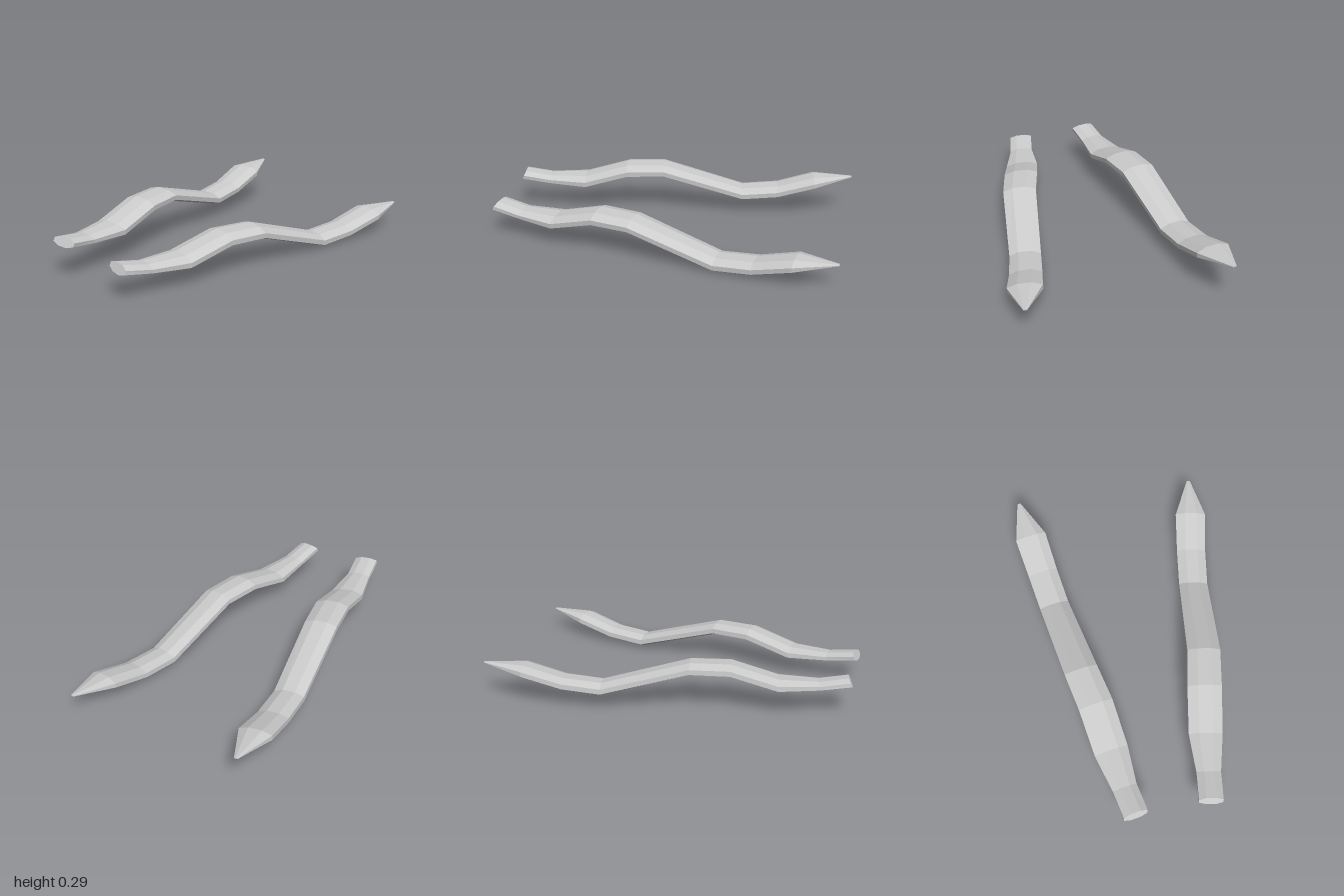
import * as THREE from 'three';

const material = new THREE.MeshStandardMaterial({ color: 0xcccccc, flatShading: true });

// Sections from the blunt end to the tip: x, y, z of the centre, half width, half height
const SECTIONS = [
  [0.210, 0.188, 0.973, 0.067, 0.024],
  [0.237, 0.160, 0.810, 0.068, 0.024],
  [0.270, 0.154, 0.595, 0.095, 0.034],
  [0.312, 0.226, 0.340, 0.097, 0.034],
  [0.357, 0.226, 0.125, 0.094, 0.033],
  [0.425, 0.078, -0.350, 0.085, 0.034],
  [0.457, 0.096, -0.560, 0.086, 0.033],
  [0.493, 0.157, -0.775, 0.090, 0.032],
  [0.528, 0.185, -0.998, 0.010, 0.003],
];
const SIDES = 8;
const YAW = 0.16; // sections stand square to the splayed path

function strandGeometry(side) {
  const positions = [];
  const indices = [];
  const tri = (a, b, c) => indices.push(...(side > 0 ? [a, b, c] : [a, c, b]));

  // Flattened octagon rings with flat top, bottom and sides
  SECTIONS.forEach(([x, y, z, w, h], i) => {
    const lean = i === 0 ? 0.5 : 0; // blunt end faces slightly upward
    for (let j = 0; j < SIDES; j++) {
      const a = ((j + 0.5) / SIDES) * Math.PI * 2;
      const r = 1 / Math.cos(Math.PI / SIDES);
      const dx = Math.cos(a) * r * w;
      const dy = Math.sin(a) * r * h;
      positions.push(side * (x + dx), y + dy, z + YAW * dx - lean * dy);
    }
  });

  // Walls between neighbouring rings
  for (let i = 0; i < SECTIONS.length - 1; i++) {
    for (let j = 0; j < SIDES; j++) {
      const k = (j + 1) % SIDES;
      const a = i * SIDES + j, b = i * SIDES + k;
      tri(a, a + SIDES, b);
      tri(b, a + SIDES, b + SIDES);
    }
  }

  // End caps
  const last = (SECTIONS.length - 1) * SIDES;
  for (let j = 1; j < SIDES - 1; j++) {
    tri(0, j, j + 1);
    tri(last, last + j + 1, last + j);
  }

  const indexed = new THREE.BufferGeometry();
  indexed.setAttribute('position', new THREE.Float32BufferAttribute(positions, 3));
  indexed.setIndex(indices);
  const geometry = indexed.toNonIndexed();
  geometry.computeVertexNormals();
  return geometry;
}

export function createModel() {
  const pair = new THREE.Group();
  pair.name = 'wavyStrands';
  for (const [name, side] of [['leftStrand', 1], ['rightStrand', -1]]) {
    const strand = new THREE.Mesh(strandGeometry(side), material);
    strand.name = name;
    pair.add(strand);
  }
  // The pair is rolled slightly so its left side sits lower
  pair.rotation.set(0, 0.004, -0.088);
  pair.position.x = -0.013;

  const model = new THREE.Group();
  model.name = 'model';
  model.add(pair);
  return model;
}
